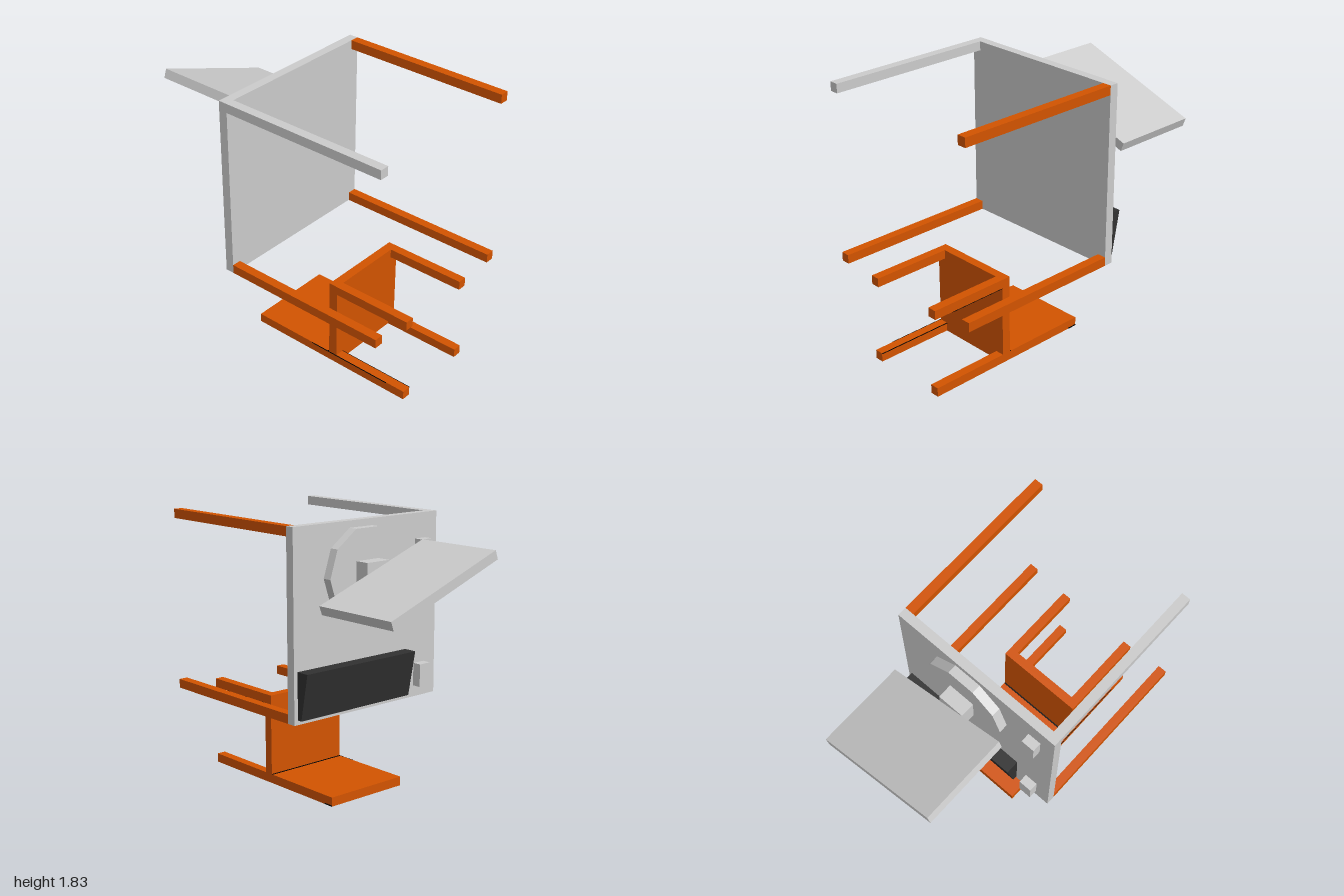
import * as THREE from 'three';

const orange = new THREE.MeshStandardMaterial({ color: 0xd35400 });
orange.name = 'orange wood';
const grey = new THREE.MeshStandardMaterial({ color: 0xcccccc });
grey.name = 'light grey';
const dark = new THREE.MeshStandardMaterial({ color: 0x313131 });
dark.name = 'dark plastic';
const black = new THREE.MeshStandardMaterial({ color: 0x000000 });
black.name = 'black edging';

function add(parent, name, geometry, material) {
  const mesh = new THREE.Mesh(geometry, material);
  mesh.name = name;
  parent.add(mesh);
  return mesh;
}

// Box given by its extents along each axis
function box(parent, name, material, [x0, x1], [y0, y1], [z0, z1]) {
  const mesh = add(parent, name, new THREE.BoxGeometry(x1 - x0, y1 - y0, z1 - z0), material);
  mesh.position.set((x0 + x1) / 2, (y0 + y1) / 2, (z0 + z1) / 2);
  return mesh;
}

function group(parent, name) {
  const g = new THREE.Group();
  g.name = name;
  parent.add(g);
  return g;
}

export function createModel() {
  const model = new THREE.Group();
  model.name = 'tippedDeskAndChair';
  const T = 0.0615; // thickness of boards and legs
  const back = -0.229; // rear surface of the desk top

  // Desk lying on its side, legs pointing forward
  const desk = group(model, 'desk');
  box(desk, 'deskTop', grey, [-0.613, 0.613], [0.602, 1.831], [back, back + T]);
  for (const x of [-0.613, 0.613 - T]) {
    for (const y of [0.602, 1.831 - T]) {
      const material = x < 0 && y > 1 ? grey : orange;
      box(desk, 'deskLeg', material, [x, x + T], [y, y + T], [back + T, 1]);
    }
  }

  // Chair tipped on its backrest
  const chair = group(model, 'chair');
  const W = 0.307; // half width
  const H = 0.614; // seat depth, now its height
  const seatBack = 0.385;
  const seatFront = seatBack + T;
  box(chair, 'seat', orange, [-W, W], [0, H], [seatBack, seatFront]);
  box(chair, 'backrest', orange, [-W, W], [0, T], [back, seatBack]);
  for (const x of [-W, W - T]) {
    for (const y of [0, H - T]) {
      box(chair, 'chairLeg', orange, [x, x + T], [y, y + T], [seatFront, 1]);
    }
  }

  // Thin black edging on the chair
  const e = 0.004;
  const edging = group(chair, 'edging');
  box(edging, 'seatSeam', black, [-W, W], [T, T + e / 2], [seatBack - 0.01, seatBack]);
  box(edging, 'upperLegEdge', black, [W - e, W], [H - T - e, H - T], [seatFront, 0.86]);
  box(edging, 'outerEdge', black, [-W - e, -W], [T - e, T], [0.24, 0.86]);
  box(edging, 'innerLegEdge', black, [T - W, T - W + e], [T - e, T], [seatFront, 1]);
  box(edging, 'backrestCorner', black, [W, W + e / 2], [0, 0.008], [back, -0.16]);

  // Monitor: ten-sided foot, square neck, turned flat casing
  const monitor = group(model, 'monitor');
  const foot = add(monitor, 'monitorFoot',
    new THREE.CylinderGeometry(0.309, 0.309, T, 10).toNonIndexed(), grey);
  foot.geometry.rotateY(Math.PI / 2);
  foot.geometry.rotateX(Math.PI / 2);
  foot.geometry.computeVertexNormals();
  foot.position.set(0.061, 1.492, back - T / 2);
  box(monitor, 'monitorNeck', grey, [-0.032, 0.153], [1.4, 1.585], [-0.388, back - T]);
  const casing = box(monitor, 'monitorCasing', grey,
    [-0.365, 0.56], [1.467, 1.5285], [-1, -0.386]);
  casing.rotation.z = THREE.MathUtils.degToRad(-20);

  // Keyboard: wedge profile (z, y) swept across x
  const profile = new THREE.Shape([
    new THREE.Vector2(-back, 0.632), new THREE.Vector2(0.262, 0.632),
    new THREE.Vector2(0.322, 0.94), new THREE.Vector2(-back, 0.94),
  ]);
  const wedge = new THREE.ExtrudeGeometry(profile, { depth: 0.925, bevelEnabled: false });
  wedge.rotateY(Math.PI / 2); // profile x becomes -z, depth becomes +x
  add(model, 'keyboard', wedge, dark).position.x = -0.34;

  // Mouse and small desk block
  box(model, 'mouse', grey, [-0.51, -0.418], [0.678, 0.832], [back - T, back]);
  box(model, 'deskBlock', grey, [-0.51, -0.418], [1.51, 1.664], [back - T, back]);

  return model;
}
